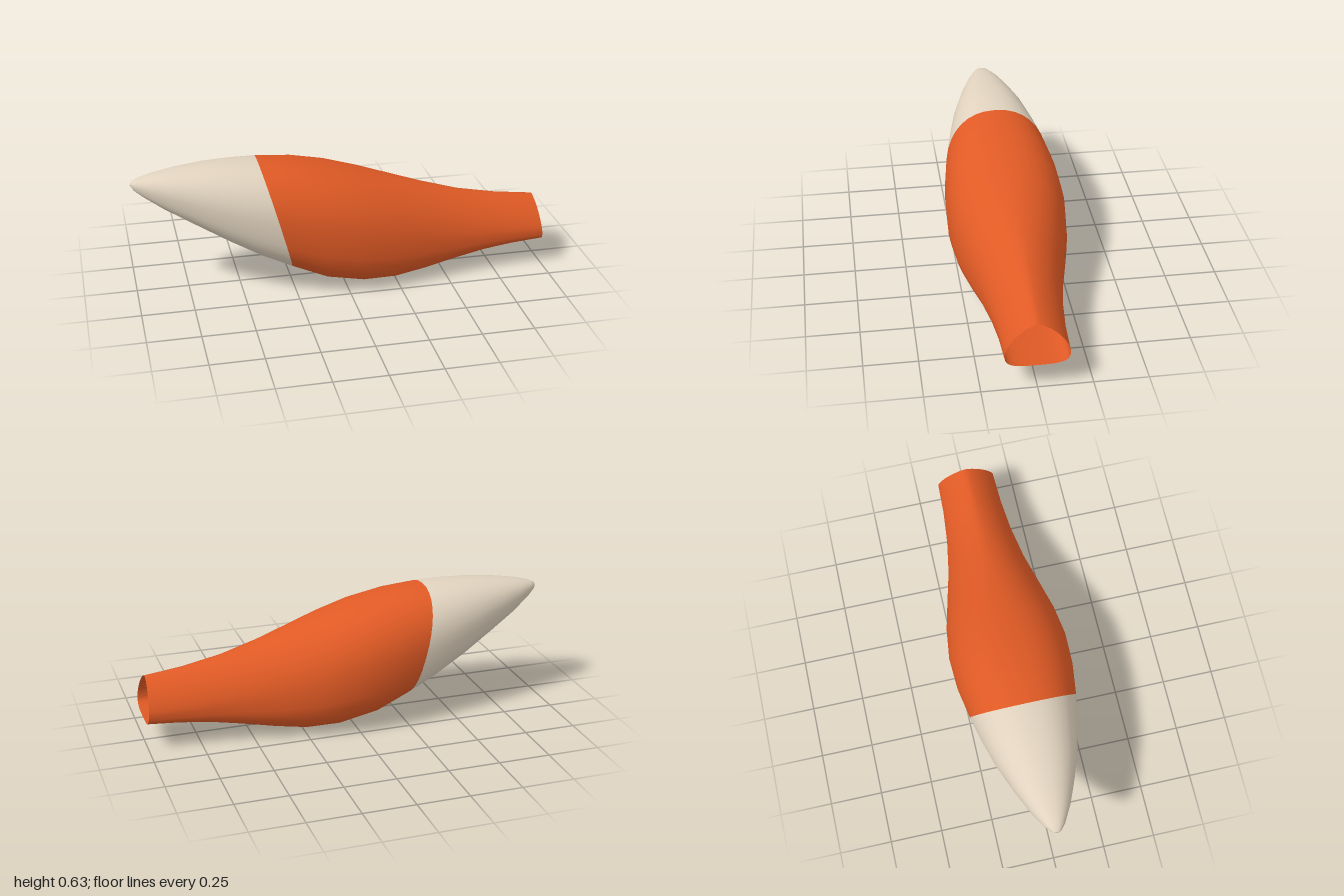
import * as THREE from 'three';

const SEGMENTS = 36;
const TIP = [-1, 0.56, 0];
// Tilted rings from tip to root: top x, top y, bottom x, bottom y, half width
const RINGS = [
  [-0.995, 0.575, -0.985, 0.537, 0.022],
  [-0.97, 0.588, -0.945, 0.505, 0.047],
  [-0.9, 0.605, -0.85, 0.44, 0.092],
  [-0.8, 0.62, -0.72, 0.362, 0.14],
  [-0.66, 0.633, -0.55, 0.26, 0.195],
  [-0.53, 0.636, -0.4, 0.175, 0.23],
  [-0.4, 0.633, -0.26, 0.11, 0.258],
  [-0.23, 0.617, -0.09, 0.038, 0.284],
  [-0.07, 0.585, 0.09, 0.004, 0.29],
  [0.09, 0.54, 0.25, 0.004, 0.27],
  [0.25, 0.49, 0.4, 0.03, 0.233],
  [0.42, 0.437, 0.54, 0.06, 0.195],
  [0.6, 0.387, 0.7, 0.092, 0.167],
  [0.79, 0.352, 0.85, 0.112, 0.151],
  [0.98, 0.328, 1, 0.125, 0.145],
];
const COLOUR_RING = 6; // the pale tip ends at this ring

const signedPow = (v, p) => Math.sign(v) * Math.pow(Math.abs(v), p);

// Egg-shaped section that turns into a flat-bottomed rounded triangle at the root
function ringPoint([xt, yt, xb, yb, w], rootBlend, j) {
  const a = (j / SEGMENTS) * Math.PI * 2;
  const c = Math.cos(a), s = Math.sin(a);
  const widest = THREE.MathUtils.lerp(0.45, 0.3, rootBlend);
  const power = s >= 0
    ? THREE.MathUtils.lerp(2.25, 1.5, rootBlend)
    : THREE.MathUtils.lerp(2.6, 3.4, rootBlend);
  const h = signedPow(s, 2 / power);
  const t = widest + h * (s >= 0 ? 1 - widest : widest);
  return [
    THREE.MathUtils.lerp(xb, xt, t),
    THREE.MathUtils.lerp(yb, yt, t),
    w * signedPow(c, 2 / power),
  ];
}

function tailGeometry() {
  const positions = [...TIP];
  const index = [];
  const last = RINGS.length - 1;
  RINGS.forEach((ring, i) => {
    const blend = THREE.MathUtils.smoothstep(i, 8, last);
    for (let j = 0; j < SEGMENTS; j++) positions.push(...ringPoint(ring, blend, j));
  });
  const id = (i, j) => 1 + i * SEGMENTS + (j % SEGMENTS);

  // Rounded point
  for (let j = 0; j < SEGMENTS; j++) index.push(0, id(0, j), id(0, j + 1));
  // Skin between rings
  let split = 0;
  for (let i = 0; i < last; i++) {
    if (i === COLOUR_RING) split = index.length;
    for (let j = 0; j < SEGMENTS; j++) {
      const a = id(i, j), b = id(i + 1, j), c = id(i, j + 1), d = id(i + 1, j + 1);
      index.push(a, b, c, c, b, d);
    }
  }

  const geometry = new THREE.BufferGeometry();
  geometry.setAttribute('position', new THREE.Float32BufferAttribute(positions, 3));
  geometry.setIndex(index);
  geometry.addGroup(0, split, 0);
  geometry.addGroup(split, index.length - split, 1);
  geometry.computeVertexNormals();
  return geometry;
}

export function createModel() {
  const cream = new THREE.MeshStandardMaterial({ color: 0xe0d2be, side: THREE.DoubleSide });
  cream.name = 'creamFur';
  const orange = new THREE.MeshStandardMaterial({ color: 0xe05a25, side: THREE.DoubleSide });
  orange.name = 'orangeFur';

  const group = new THREE.Group();
  group.name = 'bushyTail';
  // Open-ended tail with a pale tip
  const tail = new THREE.Mesh(tailGeometry(), [cream, orange]);
  tail.name = 'tail';
  group.add(tail);
  return group;
}
